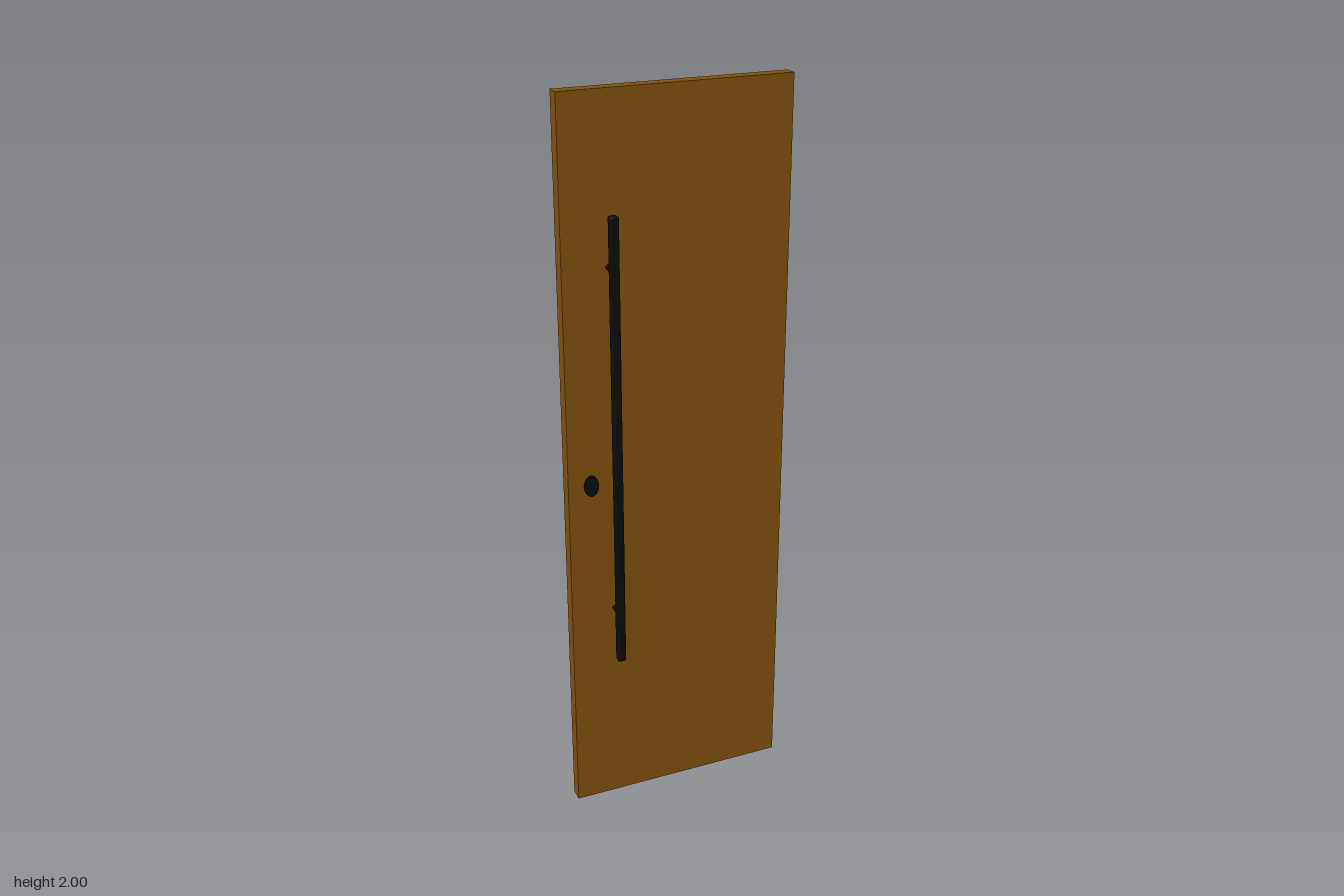
import * as THREE from 'three';
import { RoundedBoxGeometry } from 'three/addons/geometries/RoundedBoxGeometry.js';

export function createModel() {
  const wood = new THREE.MeshStandardMaterial({ color: 0x85530e });
  wood.name = 'wood';
  const black = new THREE.MeshStandardMaterial({ color: 0x0c0c0c });
  black.name = 'blackMetal';

  const model = new THREE.Group();
  model.name = 'door';
  const add = (name, geometry, material, x, y, z) => {
    const mesh = new THREE.Mesh(geometry, material);
    mesh.name = name;
    mesh.position.set(x, y, z);
    model.add(mesh);
    return mesh;
  };

  // Plain door slab
  add('doorPanel', new THREE.BoxGeometry(0.619, 2, 0.037), wood, 0, 1, 0);

  // Pull bars, standoffs and oval lock plates, the same on both faces
  const handleX = -0.186;
  const barGeometry = new RoundedBoxGeometry(0.023, 1.246, 0.023, 3, 0.005);
  const standoffGeometry = new THREE.CylinderGeometry(0.008, 0.008, 0.034, 24).rotateX(Math.PI / 2);
  const lockGeometry = new THREE.CylinderGeometry(1, 1, 0.01, 40)
    .rotateX(Math.PI / 2).scale(0.0198, 0.029, 1);

  for (const side of [1, -1]) {
    const end = side > 0 ? 'front' : 'back';
    add(end + 'PullBar', barGeometry, black, handleX, 1.081, side * 0.056);
    add(end + 'LockPlate', lockGeometry, black, -0.2465, 0.983, side * 0.02);
    for (const [level, y] of [['Upper', 1.566], ['Lower', 0.605]]) {
      add(end + level + 'Standoff', standoffGeometry, black, handleX, y, side * 0.033);
    }
  }

  return model;
}
